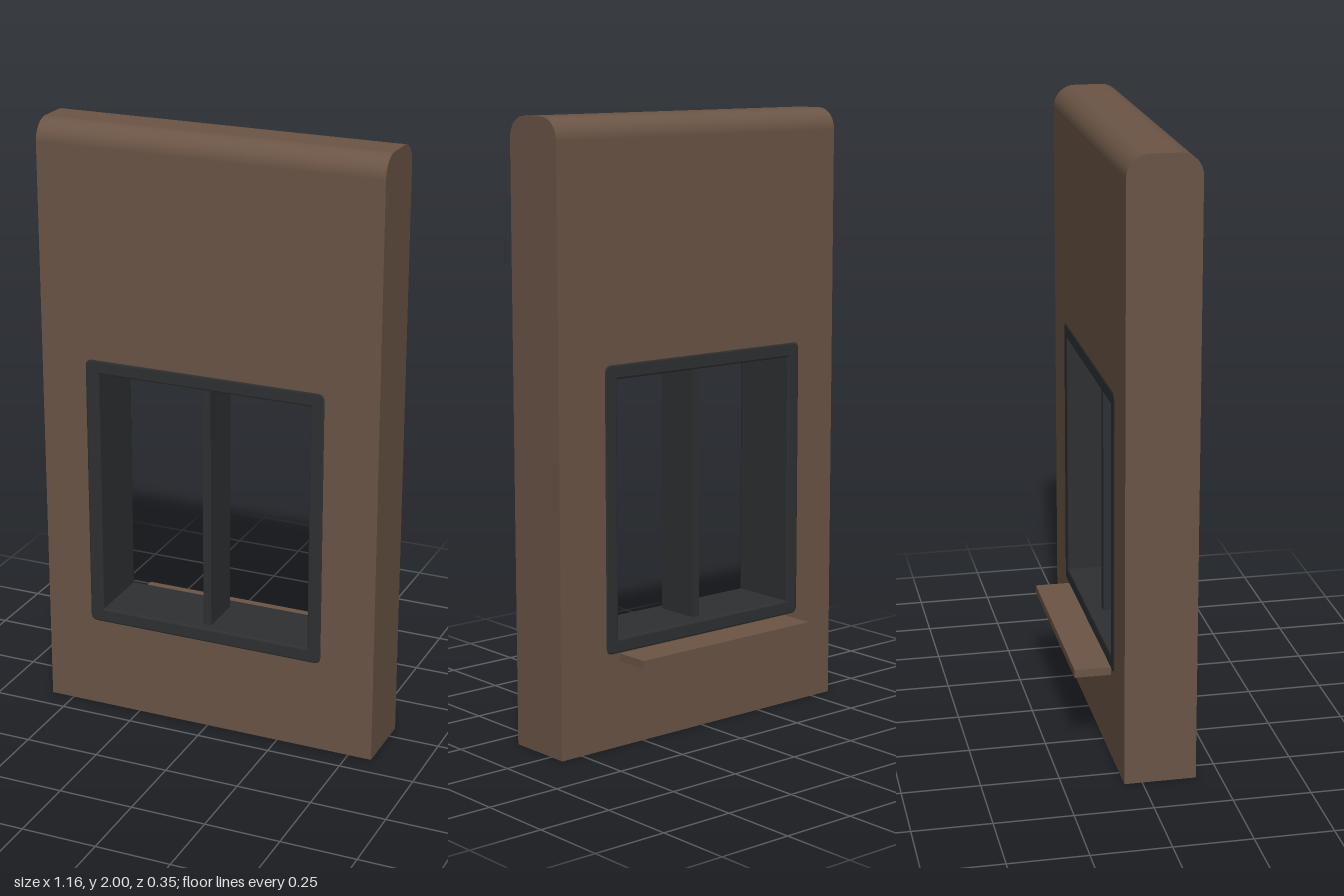
import * as THREE from 'three';

const W = 1.16, H = 2, D = 0.23, R = 0.07, ZC = 0.0575; // wall size, crown radius, wall centre in z
const WIN = { x0: -0.425, x1: 0.4, y0: 0.308, y1: 1.235 }; // window outline
const RIM = 0.048; // frame thickness

export function createModel() {
  const model = new THREE.Group();
  model.name = 'wallWithWindow';

  const brown = new THREE.MeshStandardMaterial({ name: 'brown wall', color: 0x6b5546, side: THREE.DoubleSide });
  const dark = new THREE.MeshStandardMaterial({ name: 'dark frame', color: 0x2e3032 });

  const add = (parent, name, geometry, material, x = 0, y = 0, z = 0) => {
    const mesh = new THREE.Mesh(geometry, material);
    mesh.name = name;
    mesh.position.set(x, y, z);
    parent.add(mesh);
    return mesh;
  };

  // Rectangle outline, drawn into a Shape or Path, with optional corner radius
  const rect = (p, x0, y0, x1, y1, r = 0) => {
    p.moveTo(x0 + r, y0);
    p.lineTo(x1 - r, y0);
    if (r) p.quadraticCurveTo(x1, y0, x1, y0 + r);
    p.lineTo(x1, y1 - r);
    if (r) p.quadraticCurveTo(x1, y1, x1 - r, y1);
    p.lineTo(x0 + r, y1);
    if (r) p.quadraticCurveTo(x0, y1, x0, y1 - r);
    p.lineTo(x0, y0 + r);
    if (r) p.quadraticCurveTo(x0, y0, x0 + r, y0);
    return p;
  };

  // Wall: hollow shell, open underneath
  const wall = new THREE.Group();
  wall.name = 'wall';
  wall.position.z = ZC;
  model.add(wall);

  // Front and back faces with the window opening
  for (const s of [1, -1]) {
    const face = rect(new THREE.Shape(), -W / 2, 0, W / 2, H - R);
    const xs = [s * WIN.x0, s * WIN.x1].sort((a, b) => a - b);
    const m = 0.015; // opening edge hidden under the frame
    face.holes.push(rect(new THREE.Path(), xs[0] + m, WIN.y0 + m, xs[1] - m, WIN.y1 - m));
    const geo = new THREE.ShapeGeometry(face);
    if (s < 0) geo.rotateY(Math.PI);
    add(wall, s > 0 ? 'wallFront' : 'wallBack', geo, brown, 0, 0, s * D / 2);
  }

  // Rounded top edges and the flat strip between them
  for (const s of [1, -1]) {
    const edge = new THREE.CylinderGeometry(R, R, W, 10, 1, true, s > 0 ? 0 : Math.PI / 2, Math.PI / 2);
    edge.rotateZ(Math.PI / 2);
    add(wall, s > 0 ? 'topEdgeFront' : 'topEdgeBack', edge, brown, 0, H - R, s * (D / 2 - R));
  }
  add(wall, 'topStrip', new THREE.PlaneGeometry(W, D - 2 * R).rotateX(-Math.PI / 2), brown, 0, H, 0);

  // Side ends follow the rounded profile
  const end = new THREE.Shape();
  end.moveTo(-D / 2, 0);
  end.lineTo(D / 2, 0);
  end.lineTo(D / 2, H - R);
  end.absarc(D / 2 - R, H - R, R, 0, Math.PI / 2);
  end.absarc(-D / 2 + R, H - R, R, Math.PI / 2, Math.PI);
  end.closePath();
  for (const s of [1, -1]) {
    const geo = new THREE.ShapeGeometry(end, 10).rotateY(s * Math.PI / 2);
    add(wall, s > 0 ? 'wallEndLeft' : 'wallEndRight', geo, brown, s * W / 2, 0, 0);
  }

  // Window frame: rounded ring running through the whole wall
  const b = 0.006;
  const ring = rect(new THREE.Shape(), WIN.x0 + b, WIN.y0 + b, WIN.x1 - b, WIN.y1 - b, 0.018);
  ring.holes.push(rect(new THREE.Path(),
    WIN.x0 + RIM + b, WIN.y0 + RIM + b, WIN.x1 - RIM - b, WIN.y1 - RIM - b));
  // the hole grows smaller under the bevel, so the inner edge lands on RIM
  ring.holes[0] = rect(new THREE.Path(),
    WIN.x0 + RIM - b, WIN.y0 + RIM - b, WIN.x1 - RIM + b, WIN.y1 - RIM + b);
  const depth = D + 0.006;
  const frameGeo = new THREE.ExtrudeGeometry(ring, {
    depth: depth - 2 * b, bevelEnabled: true, bevelSize: b, bevelThickness: b, bevelSegments: 2, curveSegments: 5,
  });
  frameGeo.translate(0, 0, -(depth - 2 * b) / 2);
  add(model, 'windowFrame', frameGeo, dark, 0, 0, ZC);

  // Upright bar in the middle of the window
  const midX = (WIN.x0 + WIN.x1) / 2;
  add(model, 'windowBar', new THREE.BoxGeometry(0.028, WIN.y1 - WIN.y0 - 2 * RIM + 0.01, 0.155), dark,
    midX, (WIN.y0 + WIN.y1) / 2, 0.065);

  // Sill on the back, just below the window
  add(model, 'windowSill', new THREE.BoxGeometry(0.717, 0.026, 0.118), brown, midX, 0.294, -0.116);

  return model;
}
